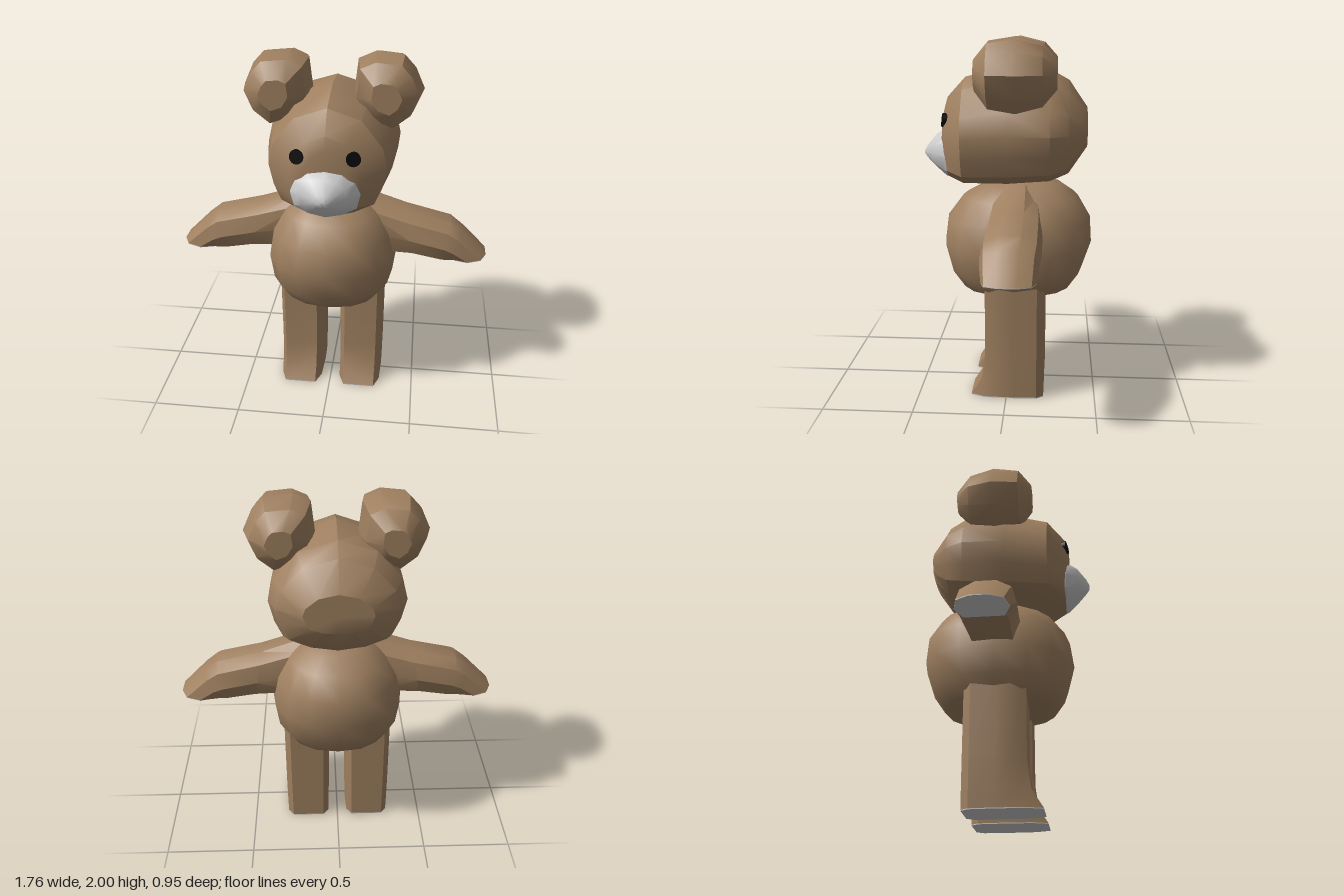
import * as THREE from 'three';
import { toCreasedNormals } from 'three/addons/utils/BufferGeometryUtils.js';

const fur = new THREE.MeshStandardMaterial({ color: 0x9f8060 });
const grey = new THREE.MeshStandardMaterial({ color: 0xcccccc });
const black = new THREE.MeshStandardMaterial({ color: 0x0a0a0a });

// Skin a closed, capped solid over rings of [x, y, z] points; faces always point outwards
function loft(name, rings, material, crease = 0.6) {
  const n = rings[0].length, pos = rings.flat(2), idx = [];
  rings.slice(1).forEach((_, r) => {
    for (let i = 0; i < n; i++) {
      const a = r * n + i, b = r * n + (i + 1) % n;
      idx.push(a, b, b + n, a, b + n, a + n);
    }
  });
  [0, rings.length - 1].forEach((r) => {
    const c = pos.length / 3;
    for (let k = 0; k < 3; k++) pos.push(rings[r].reduce((s, p) => s + p[k], 0) / n);
    for (let i = 0; i < n; i++) {
      const a = r * n + i, b = r * n + (i + 1) % n;
      if (r === 0) idx.push(c, b, a); else idx.push(c, a, b);
    }
  });
  // signed volume tells whether the winding must be reversed
  const v = (i) => new THREE.Vector3().fromArray(pos, i * 3);
  let volume = 0;
  for (let i = 0; i < idx.length; i += 3) volume += v(idx[i]).dot(v(idx[i + 1]).cross(v(idx[i + 2])));
  if (volume < 0) idx.reverse();
  const geo = new THREE.BufferGeometry();
  geo.setAttribute('position', new THREE.Float32BufferAttribute(pos, 3));
  geo.setIndex(idx);
  const mesh = new THREE.Mesh(toCreasedNormals(geo, crease), material);
  mesh.name = name;
  return mesh;
}

// Complete a half outline (top centre to bottom centre) with its mirror image
const mirrorOutline = (half) => [...half, ...half.slice(1, -1).reverse().map(([x, y]) => [-x, y])];

function body() {
  // y, half width, front z, back z
  const rows = [
    [0.575, 0.16, 0.18, -0.28], [0.605, 0.29, 0.265, -0.355], [0.7, 0.35, 0.33, -0.42],
    [0.85, 0.37, 0.37, -0.47], [1.0, 0.345, 0.35, -0.46], [1.12, 0.275, 0.26, -0.39],
    [1.19, 0.18, 0.13, -0.29], [1.22, 0.1, 0.04, -0.21]];
  const rings = rows.map(([y, w, f, b]) => Array.from({ length: 16 }, (_, i) => {
    const a = i / 16 * Math.PI * 2, c = Math.cos(a), s = Math.sin(a);
    return [w * Math.sign(c) * Math.abs(c) ** 0.85, y,
      (f + b) / 2 + (f - b) / 2 * Math.sign(s) * Math.abs(s) ** 0.85];
  }));
  return loft('body', rings, fur, 0.9);
}

function head() {
  const outline = mirrorOutline([[0, 1], [0.56, 0.9], [0.92, 0.66], [1, 0.47],
    [0.92, 0.28], [0.8, 0.13], [0.45, 0.04], [0, 0]]);
  // z, half width, bottom y, top y
  const rows = [
    [0.365, 0.12, 1.32, 1.59], [0.345, 0.19, 1.225, 1.67], [0.245, 0.31, 1.185, 1.78],
    [0, 0.355, 1.185, 1.84], [-0.23, 0.36, 1.205, 1.82], [-0.33, 0.315, 1.25, 1.765],
    [-0.43, 0.18, 1.4, 1.62]];
  return loft('head', rows.map(([z, w, b, t]) =>
    outline.map(([x, y]) => [x * w, b + (t - b) * y, z])), fur);
}

function muzzle() {
  const outline = mirrorOutline([[0, 0.14], [0.1, 0.125], [0.165, 0.07], [0.185, 0],
    [0.165, -0.08], [0.09, -0.12], [0, -0.14]]);
  // z, scale, centre y
  const rows = [[0.3, 1, 1.36], [0.345, 0.99, 1.36], [0.41, 0.66, 1.37], [0.462, 0.26, 1.365], [0.478, 0.08, 1.36]];
  return loft('muzzle', rows.map(([z, k, y]) =>
    outline.map(([px, py]) => [px * k, y + py * k, z])), grey, 0.75);
}

function ear(side) {
  const outline = [[0.11, 1.79], [0.13, 1.96], [0.22, 2.0], [0.37, 1.985],
    [0.43, 1.92], [0.48, 1.81], [0.43, 1.69], [0.33, 1.61], [0.19, 1.66]];
  const rows = [[0.165, 0.42], [0.095, 0.88], [-0.05, 1], [-0.19, 0.82], [-0.265, 0.38]];
  return loft('ear', rows.map(([z, k]) => outline.map(([x, y]) =>
    [side * (0.29 + (x - 0.29) * k), 1.81 + (y - 1.81) * k, z])), fur);
}

function eye(side) {
  const mesh = new THREE.Mesh(new THREE.CylinderGeometry(0.038, 0.038, 0.03, 20), black);
  mesh.name = 'eye';
  mesh.geometry.rotateX(Math.PI / 2);
  mesh.position.set(side * 0.142, 1.555, 0.342);
  mesh.rotation.set(-0.12, side * 0.25, 0);
  return mesh;
}

function arm(side) {
  // top x, y, bottom x, y, front z, back z
  const rows = [
    [0.15, 1.205, 0.22, 0.88, 0.09, -0.19], [0.42, 1.115, 0.46, 0.875, 0.1, -0.2],
    [0.67, 1.055, 0.62, 0.85, 0.11, -0.2], [0.74, 1.0, 0.66, 0.845, 0.105, -0.19],
    [0.88, 0.862, 0.7, 0.842, 0.09, -0.18], [0.88, 0.858, 0.7, 0.838, 0.09, -0.18]];
  // across the depth, and down from top to bottom
  const section = [[-0.35, 0], [0.35, 0], [0.85, 0.18], [1, 0.6], [0.75, 1], [-0.75, 1], [-1, 0.6], [-0.85, 0.18]];
  const rings = rows.map(([tx, ty, bx, by, f, b]) => section.map(([u, t]) =>
    [side * (tx + (bx - tx) * t), ty + (by - ty) * t, (f + b) / 2 + (f - b) / 2 * u]));
  const group = new THREE.Group();
  group.name = 'arm';
  group.add(loft('sleeve', rings.slice(0, 5), fur), loft('handPad', rings.slice(4), grey));
  return group;
}

function leg(side) {
  // y, front z, half width
  const rows = [[0.7, 0.12, 0.128], [0.25, 0.12, 0.126], [0.1, 0.14, 0.124], [0.005, 0.2, 0.122], [0, 0.2, 0.122]];
  const rings = rows.map(([y, f, w]) => [
    [-0.75, f], [0.75, f], [1, f - 0.08], [1.04, -0.04], [1, -0.17],
    [0.75, -0.21], [-0.75, -0.21], [-1, -0.17], [-1.04, -0.04], [-1, f - 0.08],
  ].map(([u, z]) => [side * (0.178 + u * w), y, z]));
  const group = new THREE.Group();
  group.name = 'leg';
  group.add(loft('shin', rings.slice(0, 4), fur), loft('footPad', rings.slice(3), grey));
  return group;
}

export function createModel() {
  const model = new THREE.Group();
  model.name = 'bear';
  model.add(body(), head(), muzzle());
  for (const side of [1, -1]) model.add(ear(side), eye(side), arm(side), leg(side));
  return model;
}
